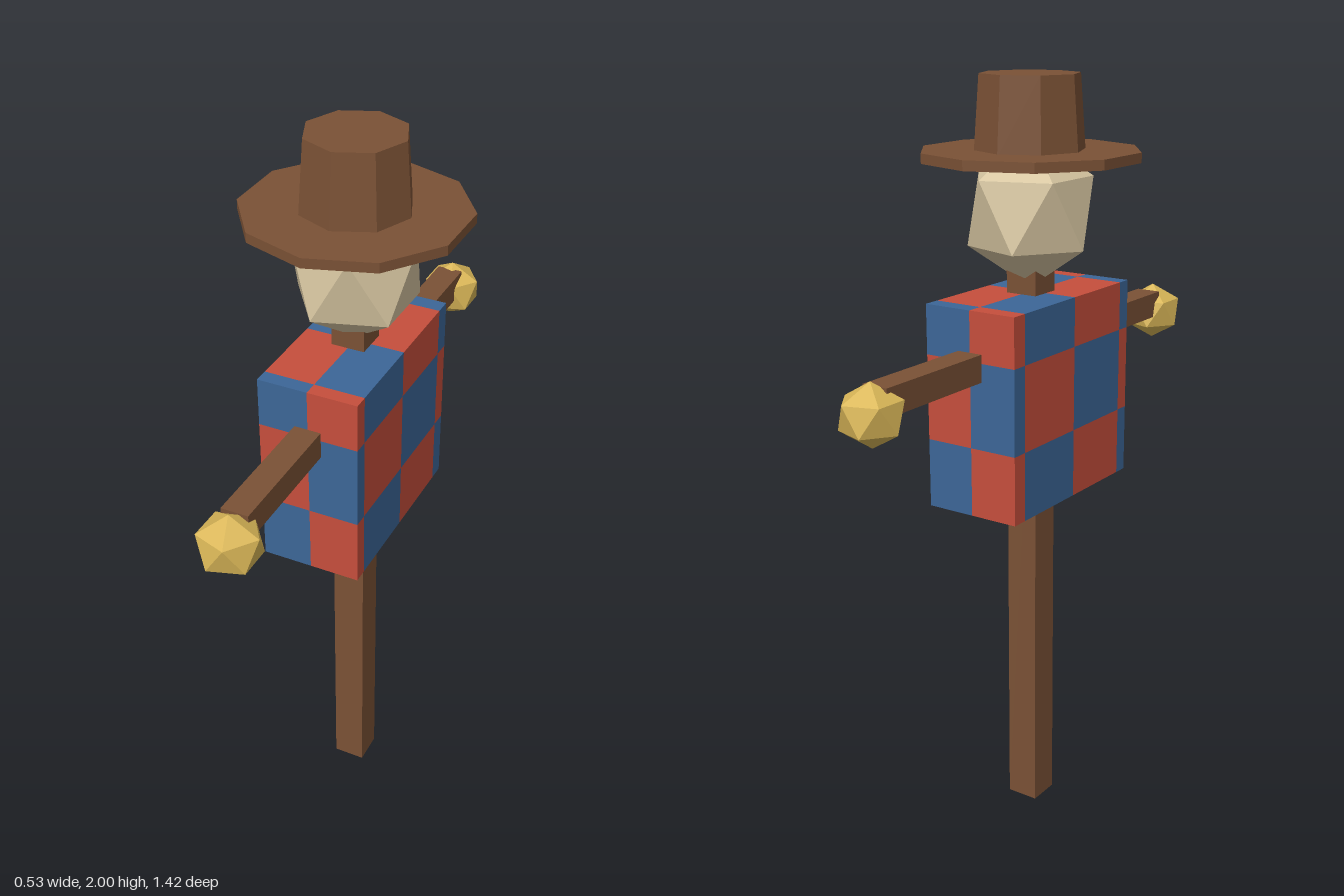
import * as THREE from 'three';

const flat = (name, color) => {
  const m = new THREE.MeshStandardMaterial({ color, flatShading: true });
  m.name = name;
  return m;
};

// Twenty-sided ball standing on one of its points
function pointedBall(rxz, ry) {
  return new THREE.IcosahedronGeometry(1, 0)
    .rotateZ(-Math.atan(2 / (1 + Math.sqrt(5))))
    .scale(rxz, ry, rxz);
}

// Box whose sides are cut along the given x, y and z lines, with alternating material indices
function checkeredBox(cuts) {
  const segs = cuts.map((c) => c.length - 1);
  const geo = new THREE.BoxGeometry(1, 1, 1, ...segs);
  const pos = geo.attributes.position, index = geo.index;
  const grid = (i, a) => (pos.getComponent(i, a) + 0.5) * segs[a];

  geo.clearGroups();
  for (let f = 0; f < index.count; f += 6) {
    let parity = 0;
    for (let a = 0; a < 3; a++) {
      let mid = 0;
      for (let k = 0; k < 6; k++) mid += grid(index.getX(f + k), a) / 6;
      parity += THREE.MathUtils.clamp(Math.floor(mid), 0, segs[a] - 1);
    }
    geo.addGroup(f, 6, parity % 2);
  }
  for (let i = 0; i < pos.count; i++) {
    for (let a = 0; a < 3; a++) pos.setComponent(i, a, cuts[a][Math.round(grid(i, a))]);
  }
  return geo;
}

export function createModel() {
  const model = new THREE.Group();
  model.name = 'scarecrow';

  const wood = flat('brown wood', 0x7a5135);
  const red = flat('red cloth', 0xc64e3c);
  const blue = flat('blue cloth', 0x3c6697);
  const sack = flat('sackcloth', 0xd6c5a0);
  const straw = flat('straw', 0xd9b657);

  const add = (name, geo, material, x, y, z) => {
    const mesh = new THREE.Mesh(geo, material);
    mesh.name = name;
    mesh.position.set(x, y, z);
    model.add(mesh);
  };
  const midZ = -0.008;

  // Wooden cross
  add('pole', new THREE.BoxGeometry(0.088, 1.6, 0.088), wood, 0, 0.8, midZ);
  add('armBeam', new THREE.BoxGeometry(0.07, 0.07, 1.237), wood, 0, 1.32, -0.011);

  // Patchwork shirt
  const shirt = checkeredBox([
    [-0.132, 0, 0.132],
    [0.93, 1.11, 1.332, 1.46],
    [-0.273, -0.228, -0.005, 0.217, 0.256],
  ]);
  add('shirt', shirt, [red, blue], 0, 0, 0);

  // Straw hands
  for (const [name, z] of [['frontHand', 0.636], ['backHand', -0.642]]) {
    add(name, pointedBall(0.085, 0.079), straw, 0.002, 1.29, z);
  }

  // Head and hat
  add('head', pointedBall(0.177, 0.194), sack, 0.002, 1.665, midZ);
  add('hatBrim', new THREE.CylinderGeometry(0.281, 0.281, 0.025, 10), wood, 0, 1.805, -0.01);
  add('hatCrown', new THREE.CylinderGeometry(0.127, 0.141, 0.19, 8), wood, 0, 1.905, -0.011);

  return model;
}
